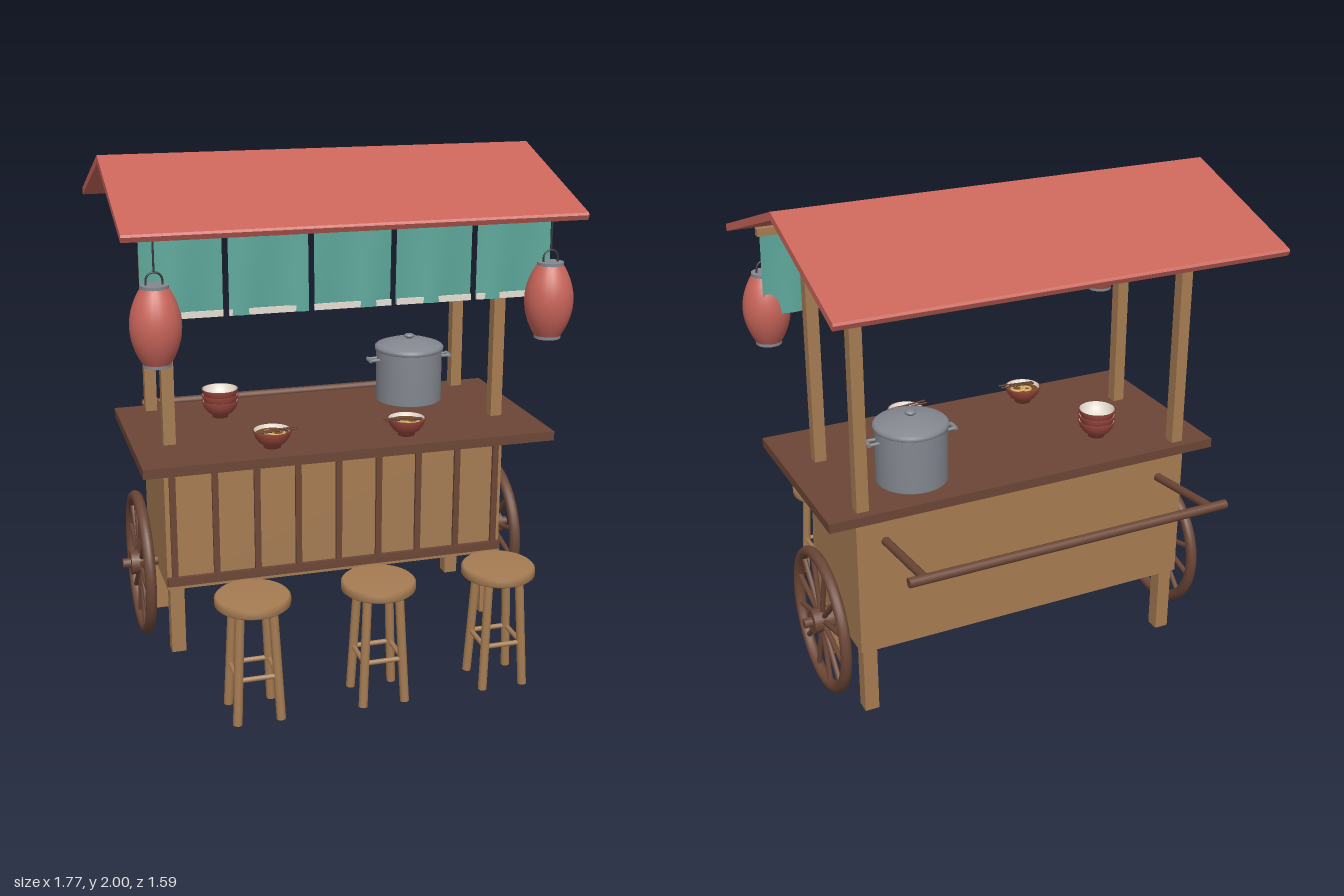
import * as THREE from 'three';

const mat = (name, color, side = THREE.FrontSide) => {
  const m = new THREE.MeshStandardMaterial({ color, side });
  m.name = name;
  return m;
};

export function createModel() {
  const wood = mat('light wood', 0xa67c52);
  const dark = mat('dark wood', 0x6b4636);
  const red = mat('red paint', 0xc9655a);
  const teal = mat('teal cloth', 0x5da79b, THREE.DoubleSide);
  const white = mat('off white', 0xe6ded2);
  const metal = mat('metal', 0x84878f);
  const glaze = mat('bowl red', 0x9c493f);
  const broth = mat('broth', 0x7a4a24);
  const noodle = mat('noodle', 0xd9b56a);
  const iron = mat('dark cord', 0x3a3a3c);

  const model = new THREE.Group();
  model.name = 'foodCart';

  const add = (parent, name, geo, m, x = 0, y = 0, z = 0) => {
    const mesh = new THREE.Mesh(geo, m);
    mesh.name = name;
    mesh.position.set(x, y, z);
    parent.add(mesh);
    return mesh;
  };
  const group = (name, x = 0, y = 0, z = 0, parent = model) => {
    const g = new THREE.Group();
    g.name = name;
    g.position.set(x, y, z);
    parent.add(g);
    return g;
  };
  const box = (parent, name, m, w, h, d, x, y, z) =>
    add(parent, name, new THREE.BoxGeometry(w, h, d), m, x, y, z);
  // round bar between two points
  const rod = (parent, name, m, a, b, r, sides = 10, r2 = r) => {
    const p = new THREE.Vector3(...a), q = new THREE.Vector3(...b);
    const mesh = add(parent, name, new THREE.CylinderGeometry(r2, r, p.distanceTo(q), sides), m);
    mesh.position.copy(p).lerp(q, 0.5);
    mesh.quaternion.setFromUnitVectors(new THREE.Vector3(0, 1, 0), q.sub(p).normalize());
    return mesh;
  };
  const lathe = (parent, name, m, pts, seg = 32) =>
    add(parent, name, new THREE.LatheGeometry(pts.map(p => new THREE.Vector2(...p)), seg), m);

  // cabinet, counter and front trim
  box(model, 'cabinet', wood, 1.43, 0.575, 0.515, 0, 0.5725, -0.1425);
  box(model, 'counter', dark, 1.66, 0.038, 0.805, 0, 0.88, -0.0325);
  for (let i = -4; i <= 4; i++)
    box(model, 'frontSlat', dark, 0.025, 0.5, 0.015, i * 0.171, 0.585, 0.121);
  box(model, 'frontRail', dark, 1.43, 0.036, 0.02, 0, 0.322, 0.122);

  // legs, posts and frame ends
  for (const s of [-1, 1]) {
    for (const z of [0.072, -0.358]) box(model, 'cartLeg', wood, 0.058, 0.3, 0.058, s * 0.675, 0.15, z);
    for (const z of [0.087, -0.375]) box(model, 'post', wood, 0.048, 0.95, 0.048, s * 0.685, 1.37, z);
    box(model, 'crossBeam', wood, 0.045, 0.04, 0.55, s * 0.685, 1.87, -0.143);
    box(model, 'kingPost', wood, 0.045, 0.09, 0.04, s * 0.685, 1.915, -0.143);
  }
  for (const z of [0.087, -0.375]) box(model, 'longBeam', wood, 1.48, 0.055, 0.058, 0, 1.818, z);
  box(model, 'ridgeBeam', wood, 1.6, 0.035, 0.05, 0, 1.945, -0.143);

  // gable roof, as a cross-section run along x
  const gable = new THREE.Shape([
    [0.143, 1.998], [-0.457, 1.793], [-0.463, 1.784], [-0.453, 1.765], [0.143, 1.967],
    [0.739, 1.765], [0.749, 1.784], [0.743, 1.793],
  ].map(p => new THREE.Vector2(...p)));
  const roofGeo = new THREE.ExtrudeGeometry(gable, { depth: 1.77, bevelEnabled: false });
  roofGeo.translate(0, 0, -0.885).rotateY(Math.PI / 2);
  add(model, 'roof', roofGeo, red);

  // cloth panels with a pale hem
  box(model, 'curtainRail', wood, 1.62, 0.03, 0.03, 0, 1.79, 0.31);
  for (let i = -2; i <= 2; i++) {
    const g = group('curtain', i * 0.325 - 0.003, 0, 0.31);
    const w = 0.303;
    const cloth = new THREE.PlaneGeometry(w, 0.335, 20, 8);
    const pos = cloth.attributes.position;
    for (let k = 0; k < pos.count; k++) {
      const t = 0.5 - pos.getY(k) / 0.335;
      pos.setZ(k, 0.012 * t * Math.sin(pos.getX(k) * 26 + i * 1.9));
    }
    cloth.computeVertexNormals();
    add(g, 'cloth', cloth, teal, 0, 1.6175, 0);
    box(g, 'hem', white, w, 0.024, 0.006, 0, 1.462, 0.005);
  }

  // wheels and axle
  rod(model, 'axle', dark, [-0.86, 0.31, -0.143], [0.86, 0.31, -0.143], 0.02, 16);
  for (const s of [-1, 1]) {
    const wheel = group('wheel', s * 0.785, 0.31, -0.143);
    const rim = add(wheel, 'rim', new THREE.TorusGeometry(0.277, 0.023, 12, 48), dark);
    rim.rotation.y = Math.PI / 2;
    rod(wheel, 'hub', dark, [-0.043, 0, 0], [0.043, 0, 0], 0.05, 20);
    for (let i = 0; i < 12; i++) {
      const a = (i + 0.5) * Math.PI / 6, c = Math.cos(a), d = Math.sin(a);
      rod(wheel, 'spoke', dark, [0, c * 0.04, d * 0.04], [0, c * 0.27, d * 0.27], 0.011, 8);
    }
  }

  // push handle
  for (const s of [-1, 1]) rod(model, 'handleArm', dark, [s * 0.6, 0.755, -0.38], [s * 0.6, 0.802, -0.78], 0.017, 12);
  rod(model, 'handleBar', dark, [-0.665, 0.802, -0.78], [0.665, 0.802, -0.78], 0.019, 16);

  // stools
  for (const x of [-0.485, 0, 0.485]) {
    const stool = group('stool', x, 0, 0.648);
    lathe(stool, 'seat', wood, [[0, 0.44], [0.134, 0.44], [0.142, 0.447], [0.142, 0.472], [0.134, 0.48], [0, 0.48]]);
    const corners = [[-1, -1], [1, -1], [1, 1], [-1, 1]];
    corners.forEach(([a, b], i) => {
      rod(stool, 'stoolLeg', wood, [a * 0.083, 0, b * 0.083], [a * 0.062, 0.445, b * 0.062], 0.018, 8);
      const [c, d] = corners[(i + 1) % 4];
      rod(stool, 'rung', wood, [a * 0.075, 0.175, b * 0.075], [c * 0.075, 0.175, d * 0.075], 0.01, 8);
    });
  }

  // hanging lanterns
  for (const s of [-1, 1]) {
    const lantern = group('lantern', s * 0.765, 1.45, 0.395);
    const body = [];
    for (let i = 0; i <= 16; i++) {
      const t = i / 8 - 1;
      body.push([0.052 + 0.043 * (1 - t * t), t * 0.138]);
    }
    lathe(lantern, 'paperBody', red, body, 24);
    for (const e of [-1, 1]) rod(lantern, 'cap', metal, [0, e * 0.132, 0], [0, e * 0.15, 0], 0.052, 24);
    const loop = add(lantern, 'loop', new THREE.TorusGeometry(0.03, 0.004, 6, 16, Math.PI), iron, 0, 0.165, 0);
    for (const e of [-1, 1]) rod(lantern, 'loopLeg', iron, [e * 0.03, 0.145, 0], [e * 0.03, 0.165, 0], 0.004, 6);
    loop.scale.y = 1;
    rod(lantern, 'cord', iron, [0, 0.194, 0], [0, 0.335, 0], 0.004, 6);
  }

  // stock pot
  const pot = group('pot', 0.415, 0.898, -0.225);
  lathe(pot, 'potBody', metal, [[0, 0], [0.135, 0], [0.141, 0.006], [0.141, 0.225]], 40);
  lathe(pot, 'potLid', metal, [[0.141, 0.222], [0.147, 0.226], [0.147, 0.238], [0.138, 0.246], [0.09, 0.262], [0.03, 0.27], [0, 0.271]], 40);
  lathe(pot, 'lidKnob', metal, [[0.012, 0.265], [0.012, 0.274], [0.022, 0.278], [0.022, 0.286], [0.014, 0.29], [0, 0.291]], 16);
  for (const s of [-1, 1]) {
    for (const z of [-0.02, 0.02]) rod(pot, 'potHandleArm', metal, [s * 0.135, 0.187, z], [s * 0.178, 0.187, z], 0.007, 8);
    rod(pot, 'potHandleGrip', metal, [s * 0.178, 0.187, -0.024], [s * 0.178, 0.187, 0.024], 0.009, 8);
  }

  // bowls: outer shell and pale lining
  const bowl = (x, y, z) => {
    const g = group('bowl', x, y, z);
    lathe(g, 'shell', glaze, [[0, 0], [0.034, 0], [0.034, 0.01], [0.052, 0.022], [0.068, 0.043], [0.077, 0.071], [0.072, 0.071]]);
    lathe(g, 'lining', white, [[0.072, 0.071], [0.063, 0.044], [0.045, 0.024], [0, 0.016]]);
    return g;
  };
  for (let i = 0; i < 3; i++) bowl(-0.42, 0.899 + i * 0.025, -0.2);
  for (const [x, s] of [[-0.305, 1], [0.245, -1]]) {
    const g = bowl(x, 0.899, 0.24);
    lathe(g, 'soup', broth, [[0.068, 0.056], [0, 0.056]]);
    for (const [r, k] of [[0.02, -0.012], [0.028, 0.018]]) {
      const n = add(g, 'noodles', new THREE.TorusGeometry(r, 0.006, 6, 20), noodle, k, 0.057, k * 0.6);
      n.rotation.x = Math.PI / 2;
    }
    for (const k of [-0.012, 0.012])
      rod(g, 'chopstick', dark, [-s * 0.06, 0.068, k * 0.6 + 0.02], [s * 0.1, 0.076, k + 0.02], 0.0035, 6);
  }

  return model;
}
